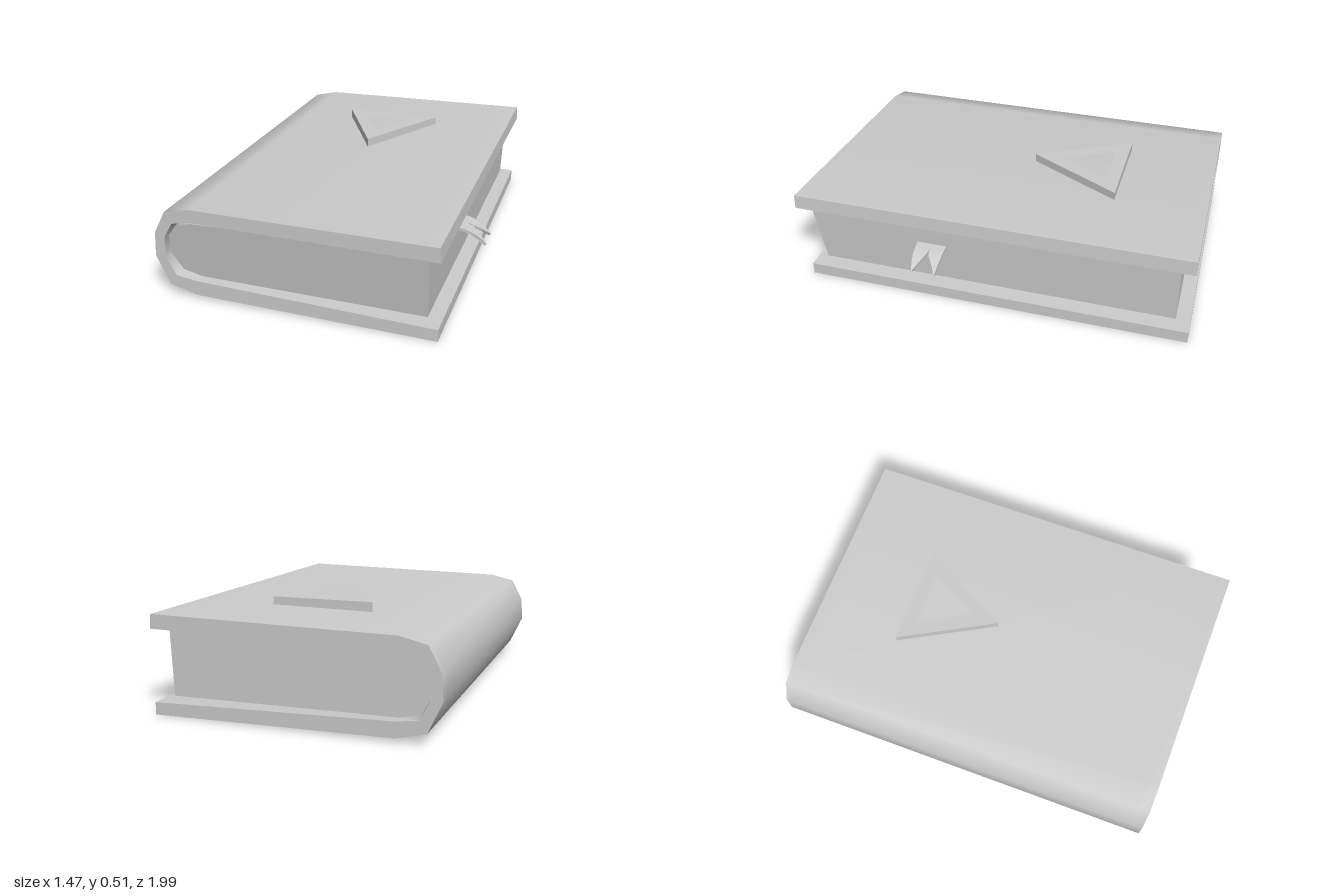
import * as THREE from 'three';
import { toCreasedNormals } from 'three/addons/utils/BufferGeometryUtils.js';

const lerp = THREE.MathUtils.lerp;
const material = new THREE.MeshStandardMaterial({ color: 0xcccccc });

// Extrudes an xy outline over z = 0..1, then lets move(v, pointIndex, section) place each vertex.
function slab(name, outline, steps, crease, move) {
  const pts = outline.map(([x, y]) => new THREE.Vector2(x, y));
  const geo = new THREE.ExtrudeGeometry(new THREE.Shape(pts), { depth: 1, steps, bevelEnabled: false });
  const pos = geo.attributes.position;
  const v = new THREE.Vector3();
  for (let k = 0; k < pos.count; k++) {
    v.fromBufferAttribute(pos, k);
    const i = pts.findIndex(p => Math.hypot(p.x - v.x, p.y - v.y) < 1e-4);
    move(v, i, Math.round(v.z * steps));
    pos.setXYZ(k, v.x, v.y, v.z);
  }
  const mesh = new THREE.Mesh(toCreasedNormals(geo, crease), material);
  mesh.name = name;
  return mesh;
}

export function createModel() {
  const book = new THREE.Group();
  book.name = 'book';

  // Cross-sections, from the top fore edge round the spine to the bottom fore edge
  const outer = [[0.65, 0.48], [-0.54, 0.465], [-0.67, 0.435], [-0.73, 0.32],
    [-0.737, 0.2], [-0.67, 0.055], [-0.53, 0.02], [0.645, 0]];
  const inner = [[0.655, 0.41], [-0.54, 0.4], [-0.635, 0.38], [-0.68, 0.305],
    [-0.68, 0.195], [-0.635, 0.11], [-0.53, 0.095], [0.645, 0.06]];
  const block = [[0.597, 0.405], [-0.54, 0.386], [-0.625, 0.366], [-0.674, 0.3],
    [-0.674, 0.198], [-0.625, 0.115], [-0.53, 0.091], [0.582, 0.079]];

  // Cover: its inside slopes in to meet the pages, its front edge is skewed on the top board
  book.add(slab('cover', [...outer, ...[...inner].reverse()], 3, 0.95, (v, i, s) => {
    const front = v.y > 0.25 ? lerp(0.95, 0.992, (v.x + 0.735) / 1.385) : 0.952;
    v.z = [-1, -0.93, 0.9, front][s];
    if (i >= outer.length && (s === 1 || s === 2)) {
      const [x, y] = block[15 - i];
      v.x = (i === 8 || i === 15) ? v.x : x;
      v.y = (i === 8 || i === 15) ? v.y : y;
    }
  }));

  // Pages: the front face leans back towards the bottom
  book.add(slab('pages', block, 1, 0.8, (v, i, s) => {
    v.z = s ? lerp(0.892, 0.94, (v.y - 0.08) / 0.32) : -0.93;
  }));

  // Raised triangular frame on the top board (shape y becomes -z)
  const triangle = pts => pts.map(([x, z]) => new THREE.Vector2(x, -z));
  const frame = new THREE.Shape(triangle([[-0.27, -0.545], [0.245, -0.545], [-0.015, -0.075]]));
  frame.holes.push(new THREE.Path(triangle([[-0.155, -0.475], [0.125, -0.475], [-0.01, -0.225]])));
  const emblemGeo = new THREE.ExtrudeGeometry(frame, { depth: 0.055, bevelEnabled: false });
  emblemGeo.rotateX(-Math.PI / 2);
  const emblem = new THREE.Mesh(emblemGeo, material);
  emblem.name = 'triangleEmblem';
  emblem.position.y = 0.46;
  book.add(emblem);

  // Bookmark: a drooping ribbon with a swallowtail notch, made as two mirrored halves
  const top = [[0.575, 0.283], [0.62, 0.277], [0.66, 0.264], [0.7, 0.238], [0.735, 0.205]];
  const under = [[0.575, 0.27], [0.615, 0.264], [0.653, 0.252], [0.69, 0.226], [0.725, 0.195]];
  const outside = [0.076, 0.075, 0.073, 0.068, 0.06];
  const notch = [0, 0, 0.006, 0.034, 0.057];
  const bookmark = new THREE.Group();
  bookmark.name = 'bookmark';
  bookmark.position.z = 0.295;
  for (const side of [1, -1]) {
    bookmark.add(slab(side > 0 ? 'frontTail' : 'backTail', [...top, ...[...under].reverse()], 1, 0.6, (v, i, s) => {
      const k = i < 5 ? i : 9 - i;
      v.z = side * ((s === 1) === (side > 0) ? outside[k] : notch[k]);
    }));
  }
  book.add(bookmark);

  return book;
}
